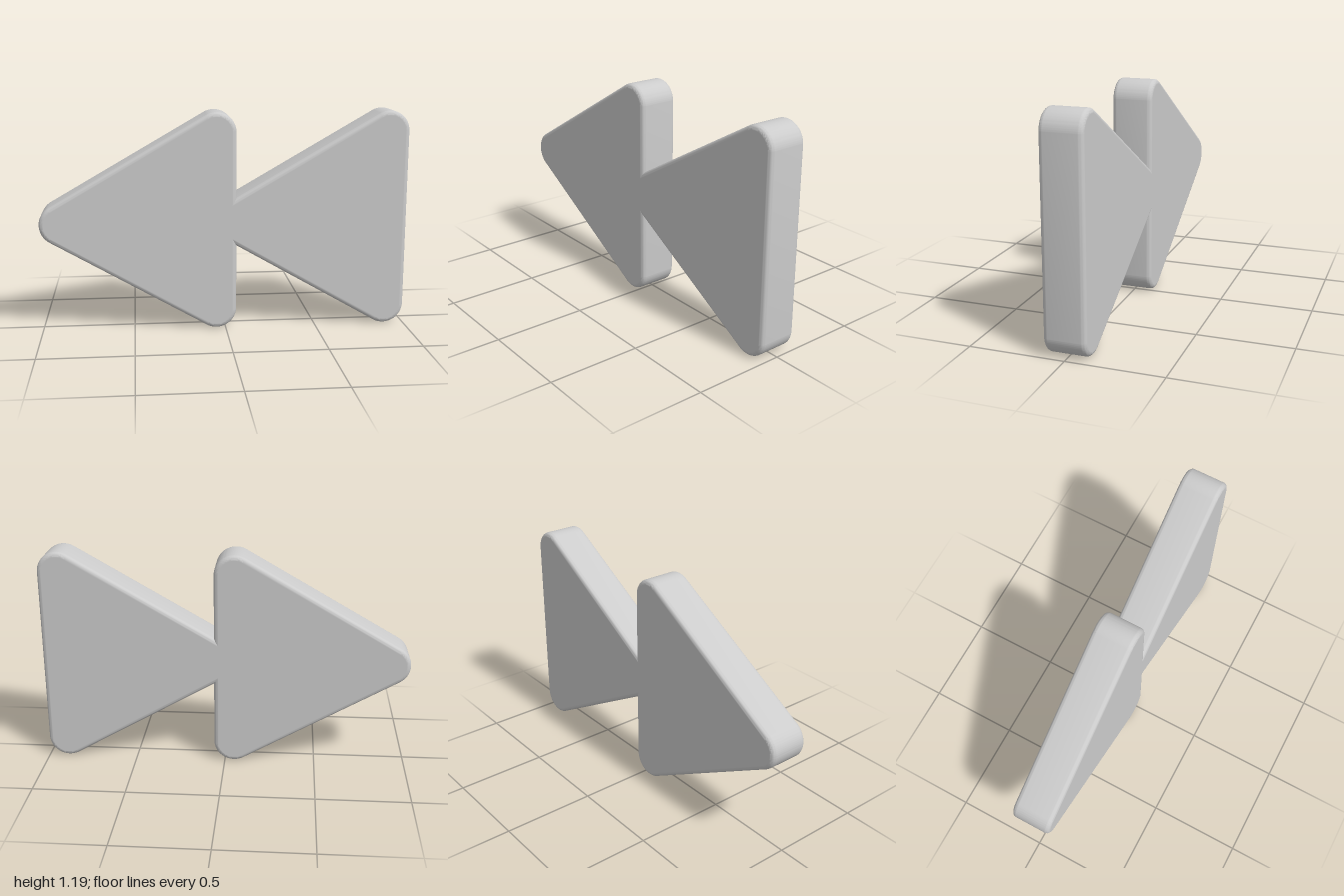
import * as THREE from 'three';
import { toCreasedNormals } from 'three/addons/utils/BufferGeometryUtils.js';

const DEPTH = 0.22, BEVEL = 0.025, RADIUS = 0.11;
const WIDTH = 1.06, HEIGHT = 1.19;

// Rounded equilateral triangle pointing to -x, with its tip at x = 0
function createArrowGeometry() {
  const r = RADIUS - BEVEL;
  const corners = [
    [RADIUS, HEIGHT / 2],
    [WIDTH - RADIUS, RADIUS],
    [WIDTH - RADIUS, HEIGHT - RADIUS],
  ];
  const shape = new THREE.Shape();
  corners.forEach(([x, y], i) => {
    const start = (i + 1) * Math.PI * 2 / 3;
    shape.absarc(x, y, r, start, start + Math.PI * 2 / 3, false);
  });
  shape.closePath();

  const extruded = new THREE.ExtrudeGeometry(shape, {
    depth: DEPTH - 2 * BEVEL, curveSegments: 24,
    bevelEnabled: true, bevelSize: BEVEL, bevelThickness: BEVEL, bevelSegments: 6,
  });
  extruded.translate(0, 0, BEVEL - DEPTH / 2);
  const geometry = toCreasedNormals(extruded, Math.PI / 5);

  // Keep the front and back faces perfectly flat in shading
  const { position, normal } = geometry.attributes;
  for (let i = 0; i < position.count; i++) {
    const z = position.getZ(i);
    if (Math.abs(z) > DEPTH / 2 - 1e-4) normal.setXYZ(i, 0, 0, Math.sign(z));
  }
  return geometry;
}

export function createModel() {
  const model = new THREE.Group();
  model.name = 'rewindSymbol';
  const material = new THREE.MeshStandardMaterial({ color: 0xcccccc });
  const geometry = createArrowGeometry();

  // Two equal arrows, the tip of one sunk into the back of the other
  [['rightArrow', -1], ['leftArrow', 1 - WIDTH]].forEach(([name, x]) => {
    const arrow = new THREE.Mesh(geometry, material);
    arrow.name = name;
    arrow.position.x = x;
    model.add(arrow);
  });
  return model;
}
